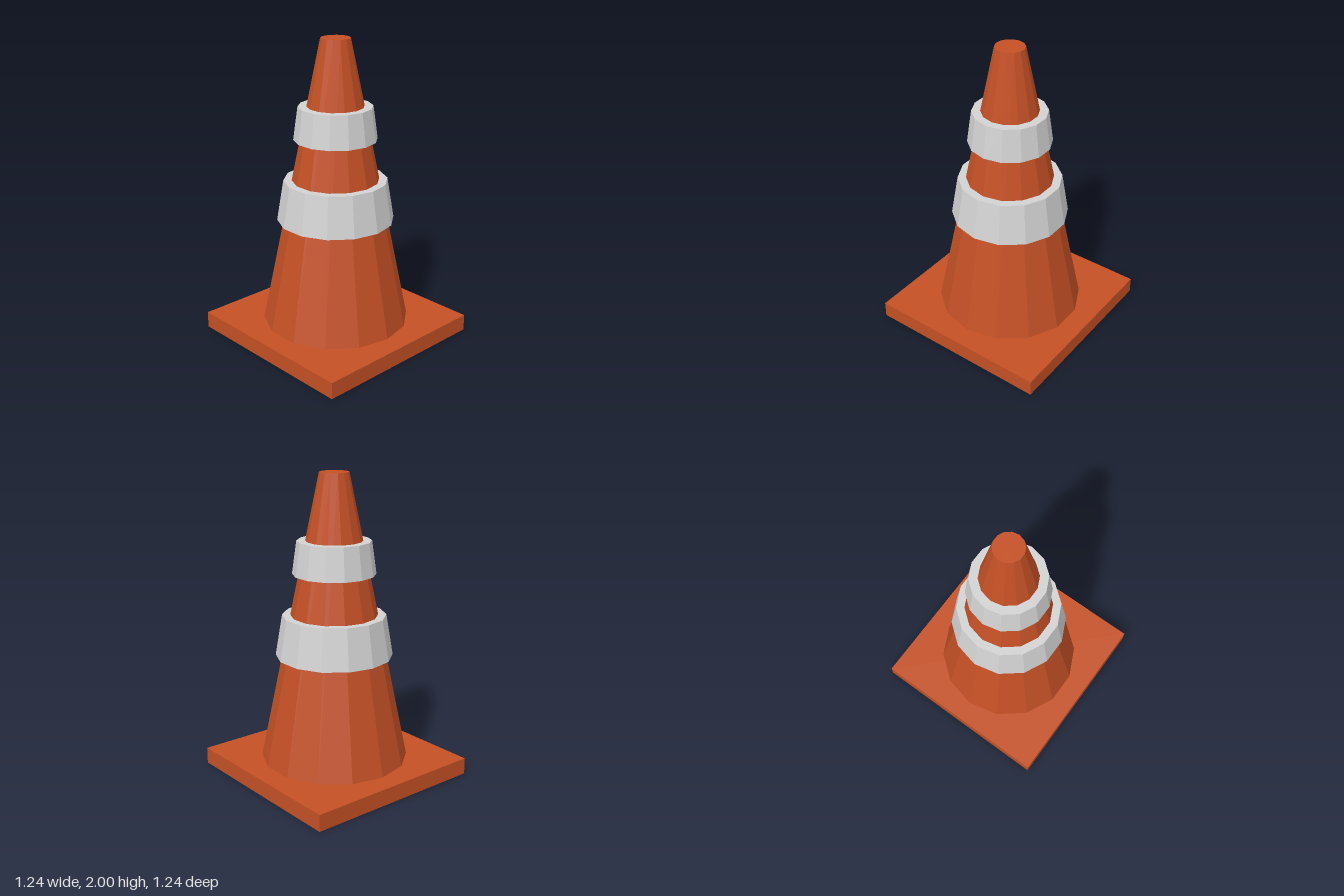
import * as THREE from 'three';

const SIDES = 14;

export function createModel() {
  const orange = new THREE.MeshStandardMaterial({ color: 0xc45025, flatShading: true });
  orange.name = 'orange plastic';
  const grey = new THREE.MeshStandardMaterial({ color: 0xd2d2d2, flatShading: true });
  grey.name = 'light grey band';

  const model = new THREE.Group();
  model.name = 'trafficCone';

  function add(name, geometry, material, y) {
    const mesh = new THREE.Mesh(geometry, material);
    mesh.name = name;
    mesh.position.y = y;
    model.add(mesh);
  }

  // Tapered faceted solid between two heights
  function addFrustum(name, bottomRadius, topRadius, y0, y1, material) {
    const geometry = new THREE.CylinderGeometry(topRadius, bottomRadius, y1 - y0, SIDES);
    add(name, geometry, material, (y0 + y1) / 2);
  }

  // Square foot and cone body
  add('base', new THREE.BoxGeometry(1.24, 0.11, 1.24), orange, 0.055);
  addFrustum('coneBody', 0.486, 0.095, 0.11, 2, orange);

  // Raised reflective bands
  addFrustum('lowerBand', 0.383, 0.338, 0.815, 1.085, grey);
  addFrustum('upperBand', 0.27, 0.24, 1.355, 1.57, grey);

  return model;
}
